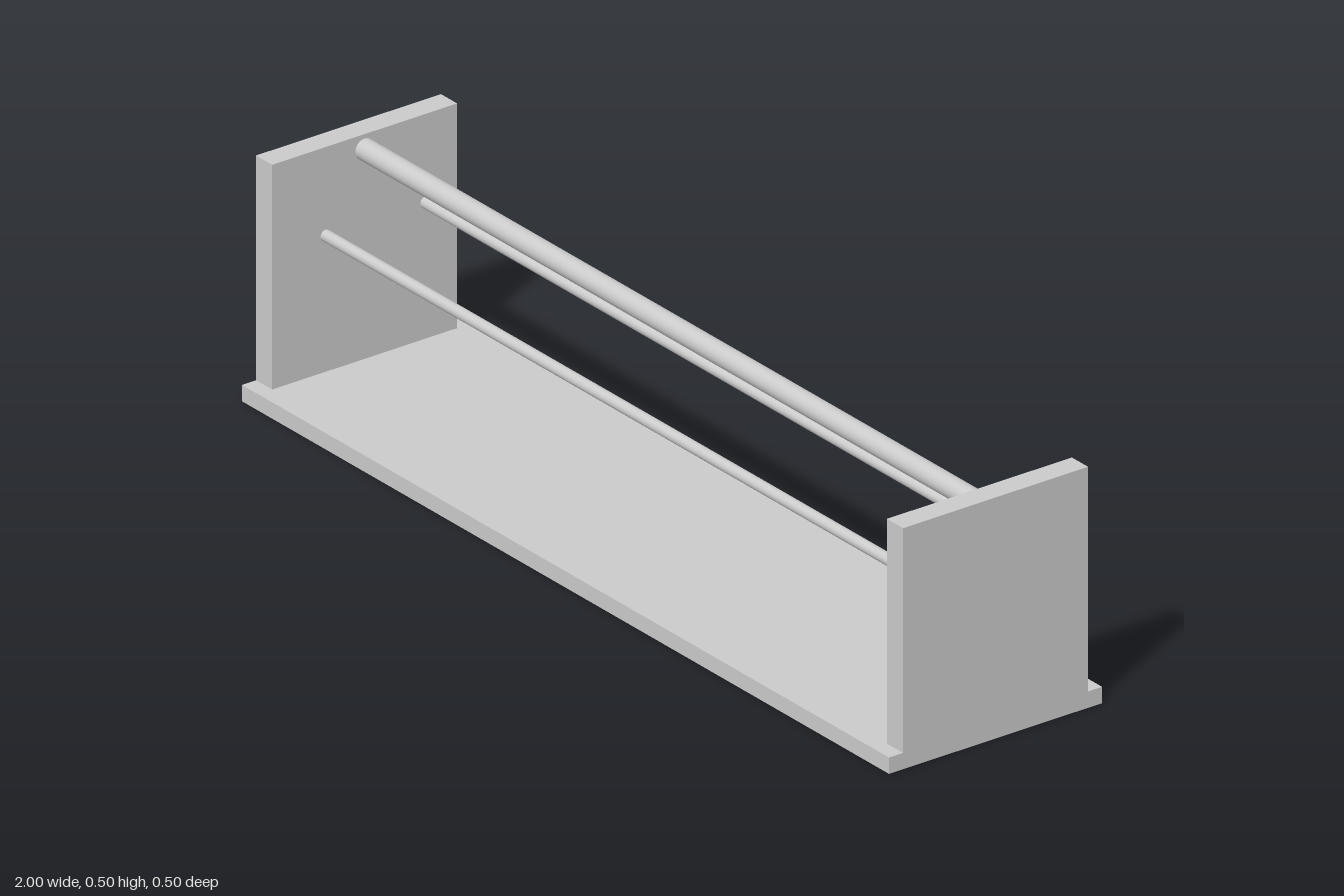
import * as THREE from 'three';

export function createModel() {
  const group = new THREE.Group();
  const material = new THREE.MeshStandardMaterial({ color: 0xcccccc });

  function add(name, geometry, x, y, z) {
    const mesh = new THREE.Mesh(geometry, material);
    mesh.name = name;
    mesh.position.set(x, y, z);
    group.add(mesh);
  }

  // A round bar lying along x
  const bar = (radius, length) =>
    new THREE.CylinderGeometry(radius, radius, length, 32).rotateZ(Math.PI / 2);

  const baseHeight = 0.034;
  const panelHeight = 0.501 - baseHeight;
  const panelThickness = 0.05;

  // Base board
  add('base', new THREE.BoxGeometry(2, baseHeight, 0.5), 0, baseHeight / 2, 0);

  // Upright end panels
  for (const [name, side] of [['leftPanel', 1], ['rightPanel', -1]]) {
    add(name, new THREE.BoxGeometry(panelThickness, panelHeight, 0.434),
      side * (1 - panelThickness / 2), baseHeight + panelHeight / 2, 0);
  }

  // Thick rail joining the panels
  add('topRail', bar(0.022, 1.9), 0, 0.47, 0);

  // Two thin rods that stop short of the panels
  add('frontRod', bar(0.012, 1.833), 0, 0.338, 0.117);
  add('backRod', bar(0.012, 1.833), 0, 0.338, -0.117);

  return group;
}
